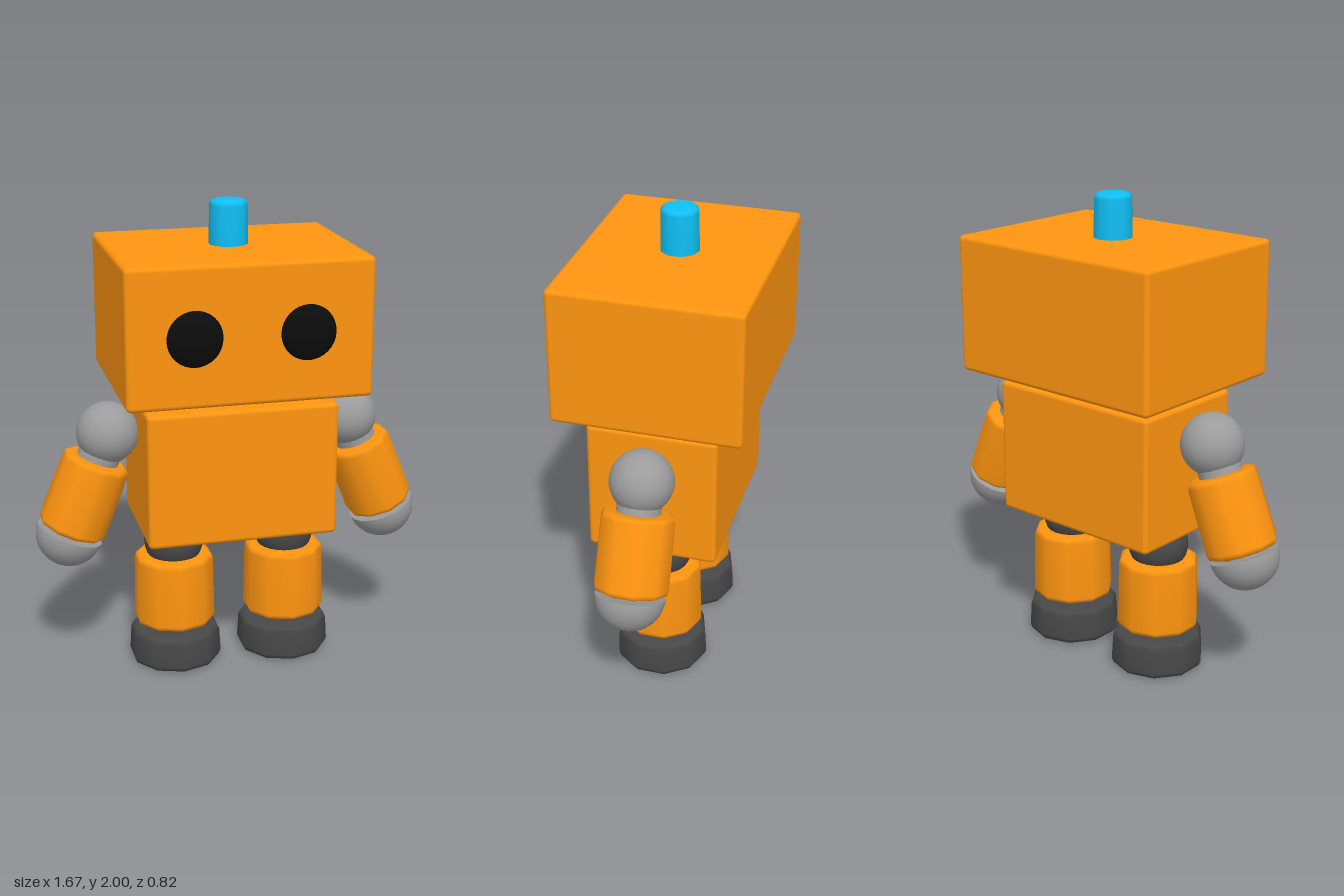
import * as THREE from 'three';
import { RoundedBoxGeometry } from 'three/addons/geometries/RoundedBoxGeometry.js';

const material = (color) => new THREE.MeshStandardMaterial({ color });
const orange = material(0xff9510);
const dark = material(0x484848);
const grey = material(0x9c9c9c);
const black = material(0x0c0c0c);
const blue = material(0x10c0f5);

const Z = -0.02; // depth of the limbs and torso axis

function add(parent, name, geometry, mat, x = 0, y = 0, z = 0) {
  const mesh = new THREE.Mesh(geometry, mat);
  mesh.name = name;
  mesh.position.set(x, y, z);
  parent.add(mesh);
  return mesh;
}

// Ten-sided cylinder between two heights, with softened rims
function barrel(rBottom, rTop, y0, y1, bevel) {
  const profile = [
    [0, y0], [rBottom - bevel, y0], [rBottom - bevel * 0.3, y0 + bevel * 0.3], [rBottom, y0 + bevel],
    [rTop, y1 - bevel], [rTop - bevel * 0.3, y1 - bevel * 0.3], [rTop - bevel, y1], [0, y1],
  ].map(([r, y]) => new THREE.Vector2(r, y));
  return new THREE.LatheGeometry(profile, 10);
}

// Plain joint rod between two heights
function rod(radius, y0, y1) {
  return new THREE.CylinderGeometry(radius, radius, y1 - y0, 16).translate(0, (y0 + y1) / 2, 0);
}

function makeArm(side) {
  const arm = new THREE.Group();
  arm.name = side > 0 ? 'leftArm' : 'rightArm';
  arm.position.set(side * 0.518, 1.055, Z);
  arm.rotation.z = side * THREE.MathUtils.degToRad(21.8);
  add(arm, 'shoulder', new THREE.SphereGeometry(0.13, 24, 16), grey);
  add(arm, 'armRod', rod(0.09, -0.47, -0.05), grey);
  const sleeve = add(arm, 'forearm', barrel(0.155, 0.152, -0.45, -0.122, 0.025), orange);
  sleeve.scale.x = 0.94;
  // Half-ball hand, closed by a flat disc
  const hand = new THREE.Group();
  hand.name = 'hand';
  hand.position.y = -0.463;
  add(hand, 'palm', new THREE.SphereGeometry(0.143, 24, 10, 0, Math.PI * 2, Math.PI / 2, Math.PI / 2), grey);
  add(hand, 'handTop', new THREE.CircleGeometry(0.143, 24).rotateX(-Math.PI / 2), grey);
  arm.add(hand);
  return arm;
}

function makeLeg(side) {
  const leg = new THREE.Group();
  leg.name = side > 0 ? 'leftLeg' : 'rightLeg';
  leg.position.set(side * 0.245, 0, Z);
  add(leg, 'hip', new THREE.SphereGeometry(0.127, 24, 16), dark, 0, 0.55);
  add(leg, 'shin', barrel(0.175, 0.17, 0.18, 0.492, 0.025), orange);
  add(leg, 'ankle', rod(0.103, 0.14, 0.2), dark);
  add(leg, 'foot', barrel(0.2, 0.194, 0, 0.158, 0.028), dark, -side * 0.002);
  return leg;
}

export function createModel() {
  const robot = new THREE.Group();
  robot.name = 'robot';

  // Head, neck and torso
  add(robot, 'head', new RoundedBoxGeometry(1, 0.57, 0.775, 2, 0.02), orange, 0, 1.535, -0.0235);
  add(robot, 'antenna', barrel(0.081, 0.078, 1.78, 2, 0.02), blue, 0, 0, -0.027);
  add(robot, 'neck', rod(0.15, 1.17, 1.27), dark, 0, 0, Z);
  add(robot, 'torso', new RoundedBoxGeometry(0.8, 0.575, 0.54, 2, 0.02), orange, 0, 0.908, Z);

  // Mirrored eyes, arms and legs
  for (const side of [-1, 1]) {
    const eye = add(robot, side > 0 ? 'leftEye' : 'rightEye',
      new THREE.SphereGeometry(0.113, 24, 16), black, side * 0.228, 1.533, 0.362);
    eye.scale.z = 0.44;
    robot.add(makeArm(side), makeLeg(side));
  }
  return robot;
}
